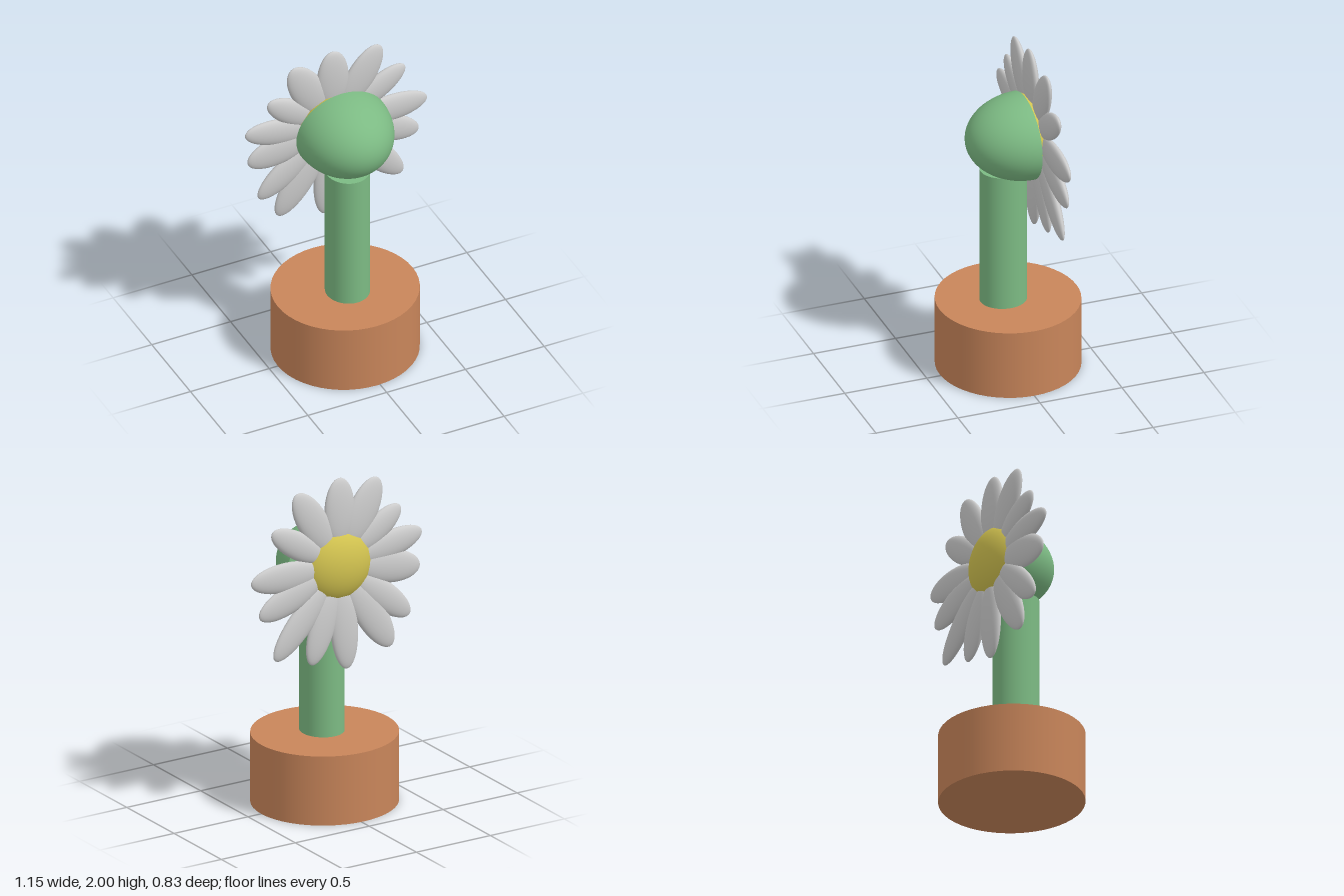
import * as THREE from 'three';

const material = (color) => new THREE.MeshStandardMaterial({ color });

function add(group, name, geometry, mat, position, scale = [1, 1, 1]) {
  const mesh = new THREE.Mesh(geometry, mat);
  mesh.name = name;
  mesh.position.set(...position);
  mesh.scale.set(...scale);
  group.add(mesh);
  return mesh;
}

export function createModel() {
  const group = new THREE.Group();
  group.name = 'pottedFlower';
  const brown = material(0xc8855a);
  const green = material(0x7cba83);
  const yellow = material(0xd2c350);
  const grey = material(0xcccccc);

  // Pot and stem
  add(group, 'pot', new THREE.CylinderGeometry(1, 1, 0.42, 48), brown, [-0.017, 0.21, -0.002], [0.428, 1, 0.417]);
  add(group, 'stem', new THREE.CylinderGeometry(1, 1, 0.87, 40), green, [-0.017, 0.835, 0.027], [0.127, 1, 0.137]);

  // Half-dome cup behind the petals, closed by a flat disc
  const dome = new THREE.SphereGeometry(1, 48, 20, 0, Math.PI * 2, 0, Math.PI / 2).rotateX(Math.PI / 2);
  add(group, 'cup', dome, green, [0.007, 1.47, -0.095], [0.288, 0.25, 0.35]);
  const disc = new THREE.CircleGeometry(1, 48).rotateY(Math.PI);
  add(group, 'cupBase', disc, green, [0.007, 1.47, -0.095], [0.288, 0.25, 1]);

  // Domed flower centre
  const centreDome = dome.clone().rotateY(Math.PI);
  add(group, 'flowerCentre', centreDome, yellow, [-0.025, 1.47, -0.094], [0.235, 0.23, 0.14]);

  // Petals: tip x, tip y, half width
  const petals = [
    [-0.03, 2.0, 0.1], [0.265, 1.955, 0.095], [0.43, 1.755, 0.08], [0.577, 1.475, 0.09],
    [0.525, 1.26, 0.09], [0.425, 0.985, 0.085], [0.18, 0.91, 0.085], [-0.06, 0.845, 0.09],
    [-0.36, 0.925, 0.095], [-0.485, 1.09, 0.085], [-0.56, 1.365, 0.1], [-0.578, 1.575, 0.085],
    [-0.435, 1.755, 0.08], [-0.285, 1.955, 0.1],
  ];
  // The ring of petals leans slightly, lower petals further back
  const ringPoint = (x, y) => new THREE.Vector3(x, y, -0.155 + 0.03 * (y - 1.45));
  const petalGeometry = new THREE.SphereGeometry(1, 32, 20);
  const petalGroup = new THREE.Group();
  petalGroup.name = 'petals';
  group.add(petalGroup);
  for (const [x, y, halfWidth] of petals) {
    const cx = -0.02, cy = 1.47;
    const k = 0.13 / Math.hypot(x - cx, y - cy);
    const tip = ringPoint(x, y);
    const root = ringPoint(cx + (x - cx) * k, cy + (y - cy) * k);
    const along = tip.clone().sub(root);
    const halfLength = along.length() / 2;
    along.normalize();
    const across = new THREE.Vector3().crossVectors(along, new THREE.Vector3(0, 0, 1)).normalize();
    const normal = new THREE.Vector3().crossVectors(across, along);
    const mid = tip.add(root).multiplyScalar(0.5);
    const petal = add(petalGroup, 'petal', petalGeometry, grey, mid.toArray(), [halfWidth, halfLength, 0.035]);
    petal.quaternion.setFromRotationMatrix(new THREE.Matrix4().makeBasis(across, along, normal));
  }
  return group;
}
